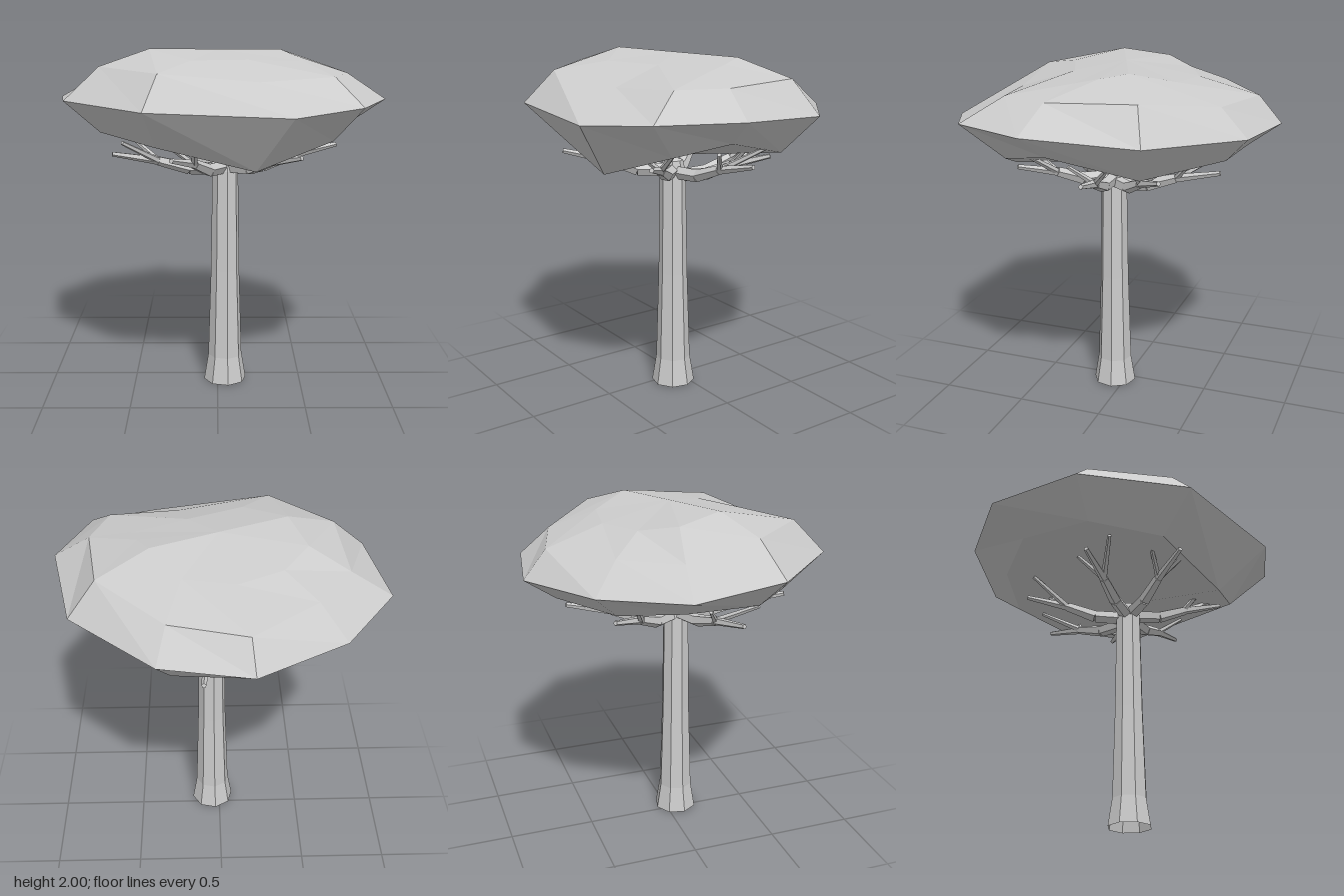
import * as THREE from 'three';

const material = new THREE.MeshStandardMaterial({ color: 0xcccccc, flatShading: true, side: THREE.DoubleSide });
const V = (x, y, z) => new THREE.Vector3(x, y, z);

// Faceted crown: cross-section rings of [x, y, z], listed from below to above, with closing centre points
function makeCanopy() {
  const rings = [
    [[-0.12, 1.53, -0.68], [0.26, 1.53, -0.65], [0.59, 1.47, -0.28], [0.74, 1.59, 0.18], [0.62, 1.53, 0.47],
      [0.2, 1.39, 0.62], [-0.33, 1.51, 0.57], [-0.65, 1.55, 0.28], [-0.7, 1.57, -0.15], [-0.5, 1.53, -0.45]],
    [[-0.16, 1.66, -0.86], [0.33, 1.67, -0.78], [0.8, 1.69, -0.36], [0.93, 1.73, 0.24], [0.75, 1.73, 0.67],
      [0.38, 1.7, 0.86], [-0.38, 1.72, 0.79], [-0.84, 1.73, 0.34], [-0.93, 1.7, -0.19], [-0.64, 1.68, -0.6]],
    [[-0.14, 1.815, -0.73], [0.28, 1.82, -0.62], [0.65, 1.88, -0.29], [0.72, 1.87, 0.19], [0.62, 1.87, 0.46],
      [0.22, 1.85, 0.55], [-0.31, 1.9, 0.63], [-0.65, 1.91, 0.27], [-0.7, 1.83, -0.15], [-0.5, 1.83, -0.45]],
    [[-0.08, 1.91, -0.4], [0.2, 1.92, -0.36], [0.37, 1.98, -0.14], [0.44, 1.955, 0], [0.48, 1.93, 0.13],
      [0.17, 1.945, 0.25], [-0.14, 1.95, 0.38], [-0.38, 2, 0.16], [-0.47, 1.96, -0.1], [-0.33, 1.92, -0.28]],
  ];
  const n = rings[0].length, pos = [];
  for (let j = 0; j < n; j++) {
    const k = (j + 1) % n;
    for (let i = 0; i + 1 < rings.length; i++) {
      const a = rings[i][j], b = rings[i][k], c = rings[i + 1][k], d = rings[i + 1][j];
      pos.push(...a, ...d, ...c, ...a, ...c, ...b);
    }
    const low = rings[0], top = rings[rings.length - 1];
    pos.push(0.05, 1.41, 0.05, ...low[j], ...low[k]);
    pos.push(...top[j], 0, 1.99, 0.01, ...top[k]);
  }
  const g = new THREE.BufferGeometry();
  g.setAttribute('position', new THREE.Float32BufferAttribute(pos, 3));
  g.computeVertexNormals();
  return g;
}

// Tapered straight limb between two points
function limb(a, b, r0, r1) {
  const dir = b.clone().sub(a);
  const m = new THREE.Mesh(new THREE.CylinderGeometry(r1, r0, dir.length(), 5), material);
  m.position.copy(a).add(b).multiplyScalar(0.5);
  m.quaternion.setFromUnitVectors(V(0, 1, 0), dir.normalize());
  return m;
}

// Branch bending outward from the trunk, with a fork on either side
function makeBranch(angle, length, tipY, startY) {
  const g = new THREE.Group();
  const at = (r, y, turn = 0) =>
    V(0.048 + Math.cos(angle + turn) * r, y, 0.068 + Math.sin(angle + turn) * r);
  const root = at(0, startY), bend = at(length * 0.33, startY + 0.01);
  const elbow = at(length * 0.6, startY + (tipY - startY) * 0.55), tip = at(length, tipY);
  g.add(limb(root, bend, 0.04, 0.037), limb(bend, elbow, 0.037, 0.028), limb(elbow, tip, 0.025, 0.014));
  g.add(limb(elbow, at(length * 0.96, tipY + 0.08, -0.2), 0.02, 0.012));
  g.add(limb(elbow, at(length * 0.8, tipY + 0.06, 0.22), 0.018, 0.011));
  return g;
}

export function createModel() {
  const tree = new THREE.Group();
  tree.name = 'tree';

  // Trunk with flared foot, open underneath
  const profile = [[0.128, 0], [0.102, 0.16], [0.085, 0.7], [0.076, 1.3], [0.06, 1.38], [0, 1.4]]
    .map(([r, y]) => new THREE.Vector2(r, y));
  const trunk = new THREE.Mesh(new THREE.LatheGeometry(profile, 8, 0.15), material);
  trunk.position.set(0.045, 0, 0.068);
  trunk.name = 'trunk';
  tree.add(trunk);

  // Branches: [compass angle from +x towards +z, length, tip height, start height]
  const branches = new THREE.Group();
  branches.name = 'branches';
  [[-0.1, 0.65, 1.44, 1.31], [0.8, 0.58, 1.44, 1.32], [2.05, 0.63, 1.45, 1.32], [2.9, 0.66, 1.42, 1.31],
    [-2.25, 0.62, 1.43, 1.3], [-1.5, 0.65, 1.41, 1.28], [-0.8, 0.56, 1.42, 1.29]].forEach((b, i) => {
    const branch = makeBranch(...b);
    branch.name = 'branch' + (i + 1);
    branches.add(branch);
  });
  tree.add(branches);

  const canopy = new THREE.Mesh(makeCanopy(), material);
  canopy.name = 'canopy';
  tree.add(canopy);
  return tree;
}
